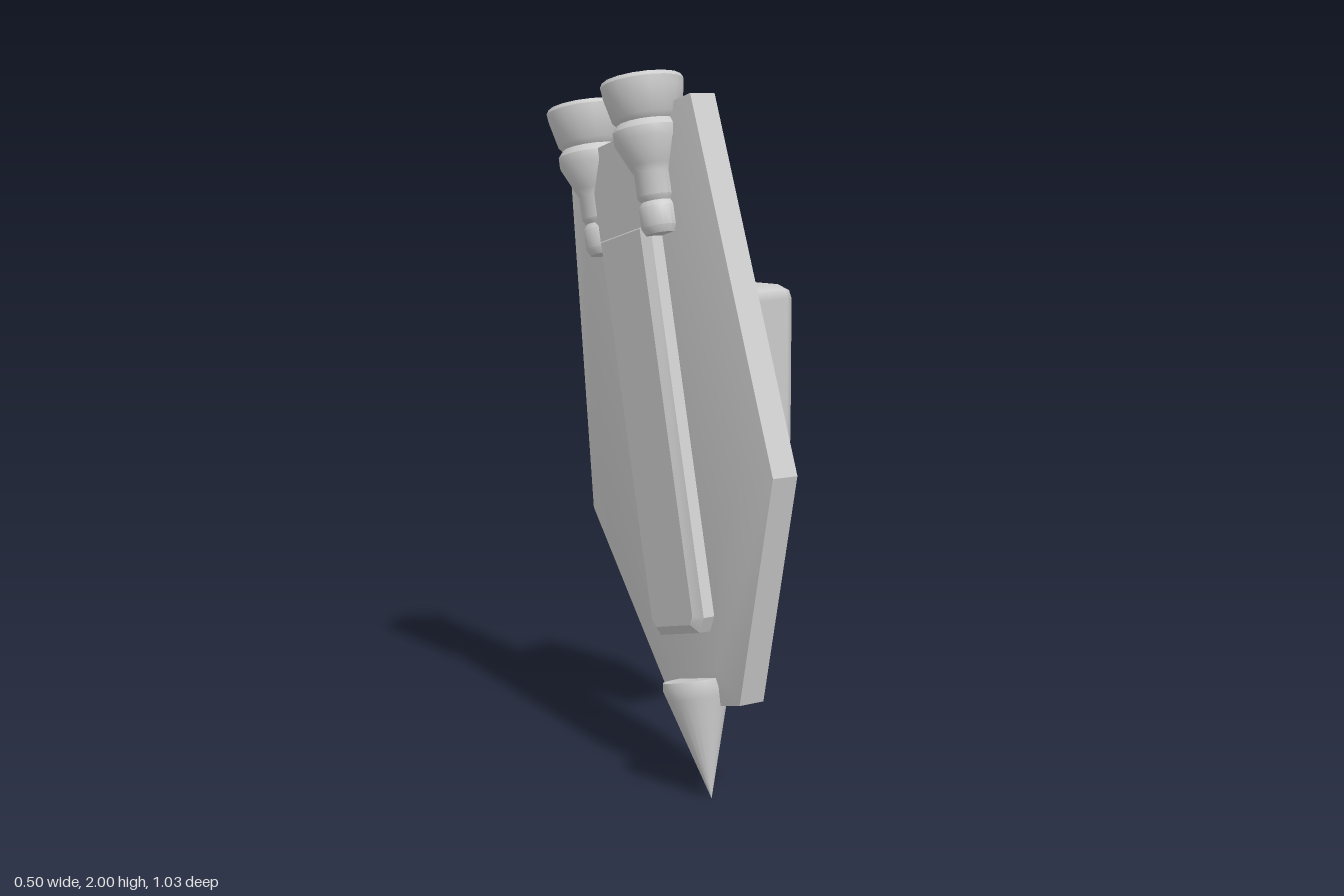
import * as THREE from 'three';
import { toCreasedNormals } from 'three/addons/utils/BufferGeometryUtils.js';
import { RoundedBoxGeometry } from 'three/addons/geometries/RoundedBoxGeometry.js';

const gray = new THREE.MeshStandardMaterial({ color: 0xcccccc });
gray.name = 'light gray';

function part(name, geometry, x = 0, y = 0, z = 0) {
  const mesh = new THREE.Mesh(geometry, gray);
  mesh.name = name;
  mesh.position.set(x, y, z);
  return mesh;
}

// Slab lying in the y-z plane, with its faces chamfered inward by `inset` over `rise`
function slab(outline, depth, inset, rise) {
  const shape = new THREE.Shape(outline.map(([z, y]) => new THREE.Vector2(z, y)));
  const geo = new THREE.ExtrudeGeometry(shape, {
    depth, bevelEnabled: true, bevelSegments: 1,
    bevelThickness: rise, bevelSize: inset, bevelOffset: -inset,
  });
  geo.translate(0, 0, -depth / 2);
  geo.rotateY(-Math.PI / 2);
  return toCreasedNormals(geo, 0.5);
}

// Turned part from radius / height pairs, listed bottom to top
function turned(points, sides) {
  const profile = points.map(([r, y]) => new THREE.Vector2(r, y));
  return toCreasedNormals(new THREE.LatheGeometry(profile, sides), 0.6);
}

export function createModel() {
  const model = new THREE.Group();
  model.name = 'shieldBinder';

  // Tilted assembly: shield, thrusters, bar and spike share one frame
  const tilted = new THREE.Group();
  tilted.name = 'shieldAssembly';
  tilted.rotation.set(THREE.MathUtils.degToRad(-14), THREE.MathUtils.degToRad(-10), 0, 'YXZ');
  tilted.position.set(-0.058, 0, 0);
  model.add(tilted);
  const body = new THREE.Group();
  body.name = 'shieldBody';
  body.position.z = 0.264;
  tilted.add(body);

  // Six-sided shield plate with gently raised faces
  body.add(part('shieldPlate', slab([
    [-0.167, 0.19], [0.167, 0.19], [0.467, 0.787],
    [0.332, 1.85], [-0.332, 1.85], [-0.467, 0.787],
  ], 0.08, 0.1, 0.018)));

  // Long raised bar on the inner face
  body.add(part('innerBar', slab([
    [-0.1, 0.4], [0.1, 0.4], [0.13, 0.44], [0.13, 1.55], [-0.13, 1.55], [-0.13, 0.44],
  ], 0.05, 0.025, 0.02), -0.068));

  // Bracket joining the two thrusters
  body.add(part('thrusterBracket', new THREE.BoxGeometry(0.07, 0.27, 0.3), -0.075, 1.655, 0));

  // Pair of thrusters: tubes, funnel, collar and bell
  const thruster = turned([
    [0, 1.5], [0.045, 1.5], [0.056, 1.52], [0.056, 1.575], [0.046, 1.59],
    [0.056, 1.605], [0.056, 1.67], [0.066, 1.69], [0.1, 1.76], [0.1, 1.79],
    [0.085, 1.81], [0.098, 1.825], [0.115, 1.895], [0.118, 1.92], [0.111, 1.932], [0, 1.932],
  ], 16);
  for (const side of [-1, 1]) {
    body.add(part(side < 0 ? 'rearThruster' : 'frontThruster', thruster, -0.072, 0, side * 0.152));
  }

  // Spike at the lower end
  body.add(part('spike', turned([
    [0, -0.065], [0.086, 0.22], [0.094, 0.245], [0.092, 0.27], [0, 0.27],
  ], 20), -0.063, 0, 0));

  // Upright mounting block beside the outer face
  model.add(part('mountBlock', new RoundedBoxGeometry(0.206, 0.488, 0.403, 1, 0.04), 0.145, 1.16, -0.022));

  return model;
}
